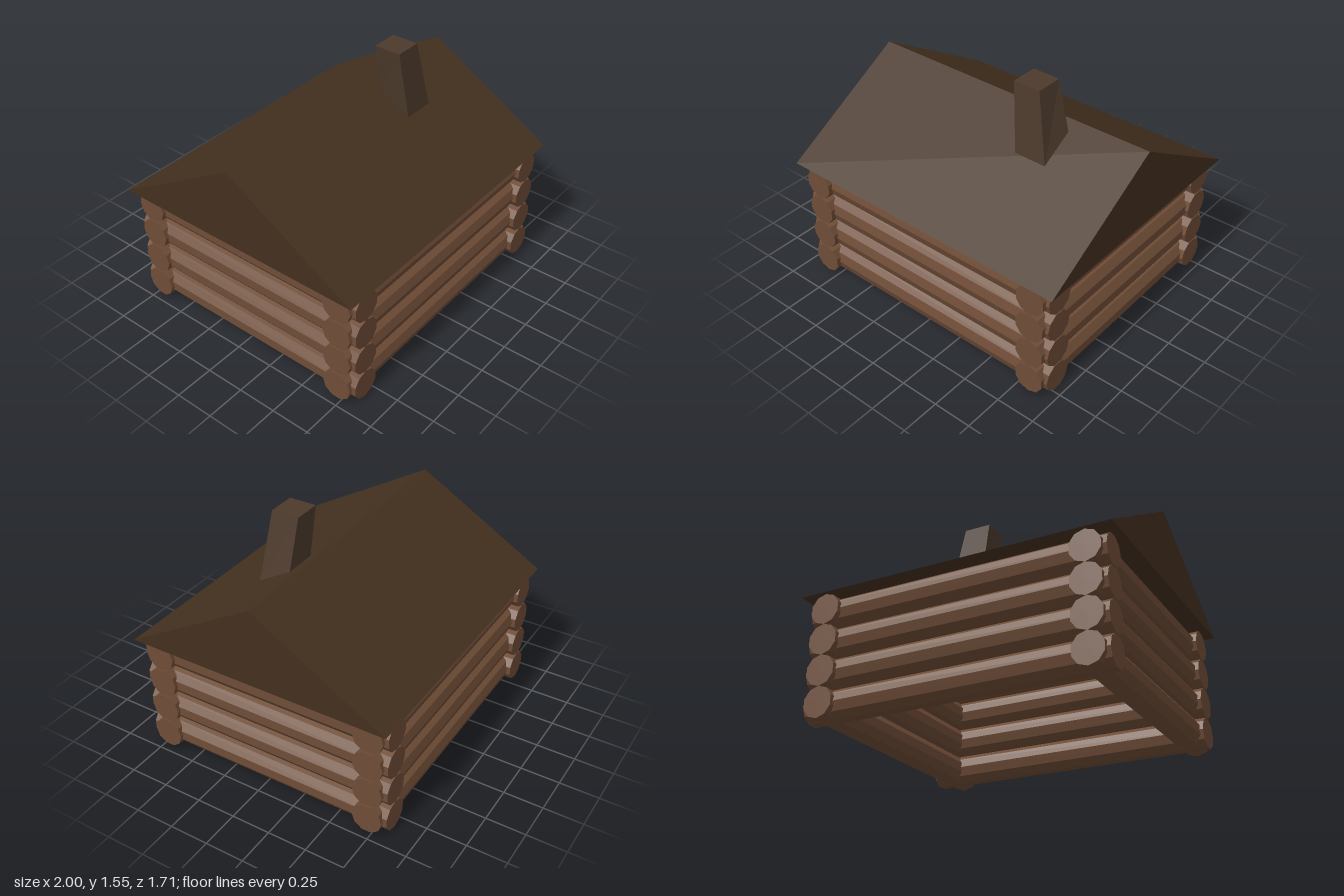
import * as THREE from 'three';

const mat = (color) => new THREE.MeshStandardMaterial({ color, flatShading: true });

export function createModel() {
  const cabin = new THREE.Group();
  cabin.name = 'logCabin';
  const wood = mat(0x6e4c36), roofWood = mat(0x44301f), stone = mat(0x4d3a2c);
  const add = (name, geometry, material, parent = cabin) => {
    const mesh = new THREE.Mesh(geometry, material);
    mesh.name = name;
    parent.add(mesh);
    return mesh;
  };

  // Walls: four courses of ten-sided logs crossing at the corners
  const r = 0.0975, pitch = 0.194, wallX = 0.835, wallZ = 0.715;
  const longLog = new THREE.CylinderGeometry(r, r, 1.9, 10).rotateZ(Math.PI / 2);
  const sideLog = new THREE.CylinderGeometry(r, r, 1.67, 10).rotateX(Math.PI / 2);
  const walls = [
    ['frontWall', longLog, 0, wallZ],
    ['backWall', longLog, 0, -wallZ],
    ['leftWall', sideLog, wallX, 0],
    ['rightWall', sideLog, -wallX, 0],
  ];
  for (const [name, log, x, z] of walls) {
    const wall = new THREE.Group();
    wall.name = name;
    cabin.add(wall);
    for (let i = 0; i < 4; i++) {
      add('log', log, wood, wall).position.set(x, r + i * pitch, z);
    }
  }

  // Roof: solid gable prism with its ridge along x
  const gable = new THREE.Shape([
    new THREE.Vector2(-0.855, 0.78),
    new THREE.Vector2(0.855, 0.78),
    new THREE.Vector2(0, 1.28),
  ]);
  const roof = new THREE.ExtrudeGeometry(gable, { depth: 2, bevelEnabled: false });
  roof.translate(0, 0, -1).rotateY(Math.PI / 2);
  add('roof', roof, roofWood);

  // Chimney: leaning, tapered block whose foot follows the roof slope
  const chimney = new THREE.BoxGeometry(1, 1, 1);
  const p = chimney.attributes.position;
  for (let i = 0; i < p.count; i++) {
    const right = p.getX(i) > 0, top = p.getY(i) > 0, front = p.getZ(i) > 0;
    if (top) p.setXYZ(i, right ? 0.415 : 0.235, 1.55, front ? 0.237 : 0.06);
    else p.setXYZ(i, right ? 0.5 : 0.285, front ? 1.11 : 1.238, front ? 0.285 : 0.07);
  }
  chimney.computeVertexNormals();
  add('chimney', chimney, stone);

  return cabin;
}
